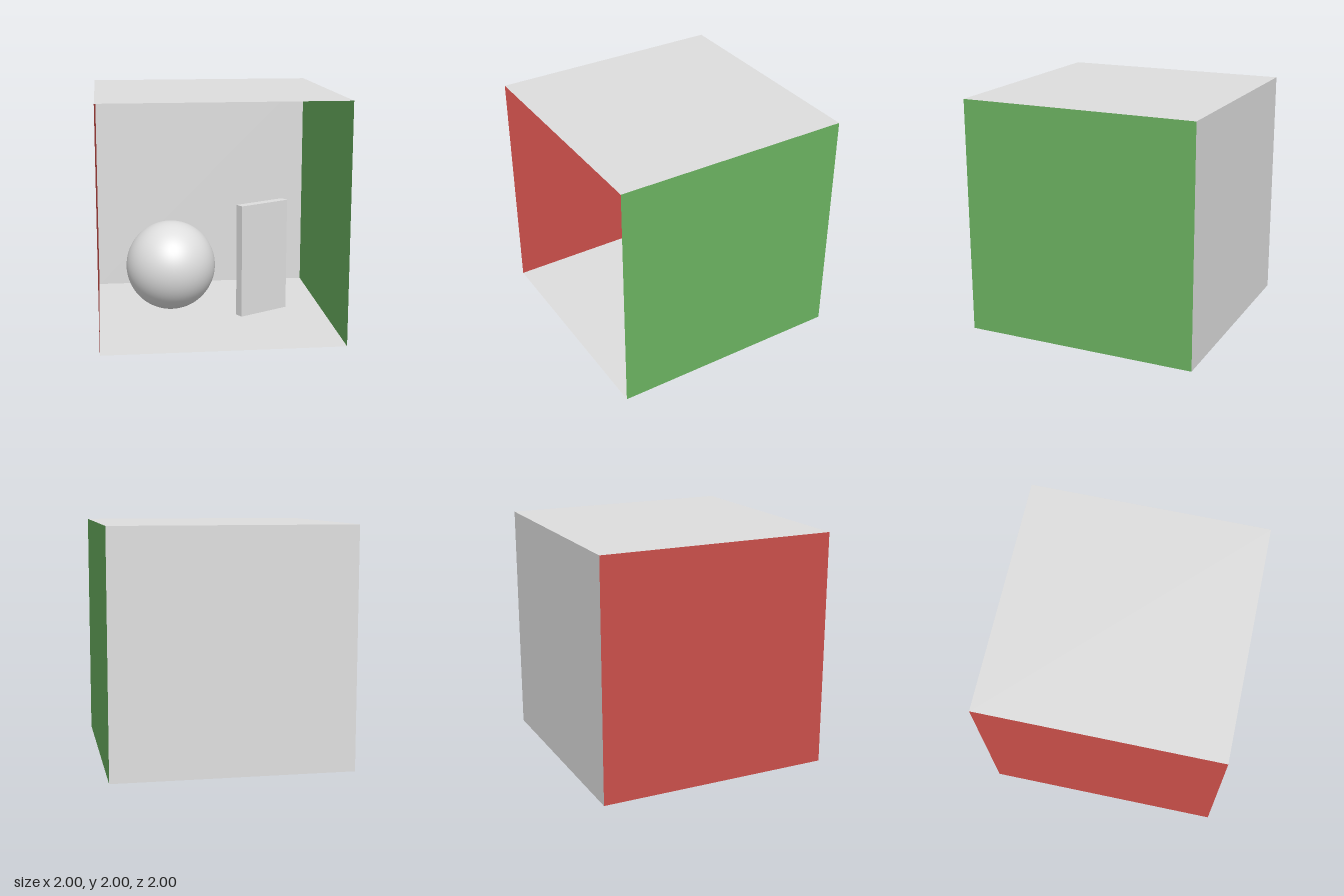
import * as THREE from 'three';

export function createModel() {
  const group = new THREE.Group();
  const material = (name, color, side = THREE.FrontSide) => {
    const m = new THREE.MeshStandardMaterial({ color, side });
    m.name = name;
    return m;
  };
  const white = material('white', 0xdedede, THREE.DoubleSide);
  const red = material('red', 0xcb4f4a, THREE.DoubleSide);
  const green = material('green', 0x6cb361, THREE.DoubleSide);

  const add = (name, geometry, mat, position, rotation = [0, 0, 0]) => {
    const mesh = new THREE.Mesh(geometry, mat);
    mesh.name = name;
    mesh.position.set(...position);
    mesh.rotation.set(...rotation);
    group.add(mesh);
  };

  // Room: five thin sheets facing inward, open at the front
  const sheet = new THREE.PlaneGeometry(2, 2);
  const q = Math.PI / 2;
  add('floor', sheet, white, [0, 0, 0], [-q, 0, 0]);
  add('ceiling', sheet, white, [0, 2, 0], [q, 0, 0]);
  add('backWall', sheet, white, [0, 1, -1]);
  add('rightWall', sheet, red, [-1, 1, 0], [0, q, 0]);
  add('leftWall', sheet, green, [1, 1, 0], [0, -q, 0]);

  // Objects standing on the floor
  add('ball', new THREE.SphereGeometry(0.4, 64, 40), white, [-0.35, 0.4, -0.2]);
  add('uprightSlab', new THREE.BoxGeometry(0.5, 1, 0.08), white, [0.45, 0.5, 0], [0, 0.5, 0]);

  return group;
}
